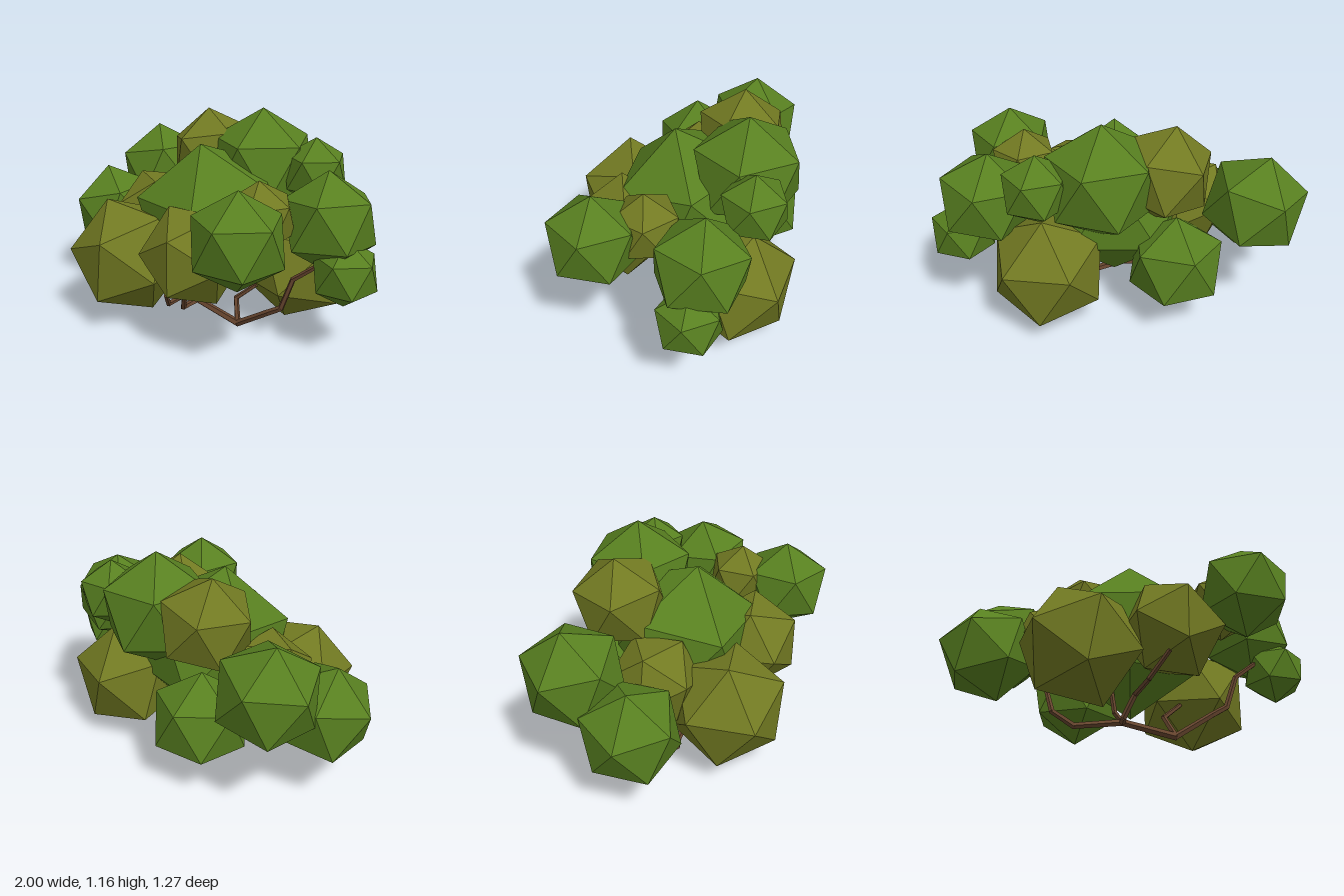
import * as THREE from 'three';

const material = (color) => new THREE.MeshStandardMaterial({ color, flatShading: true, roughness: 0.9 });

// Icosahedron turned so one vertex is at +y and a neighbour leans to +z
const leafBall = new THREE.IcosahedronGeometry(1, 0);
leafBall.rotateX(-Math.atan2((1 + Math.sqrt(5)) / 2, 1));

// Leaf clump: pole is the direction of one corner, lean of a neighbouring corner
function clump(name, mat, radius, centre, pole, lean) {
  const mesh = new THREE.Mesh(leafBall, mat);
  const y = new THREE.Vector3(...pole).normalize();
  const x = new THREE.Vector3().crossVectors(y, new THREE.Vector3(...lean)).normalize();
  const z = new THREE.Vector3().crossVectors(x, y);
  mesh.quaternion.setFromRotationMatrix(new THREE.Matrix4().makeBasis(x, y, z));
  mesh.scale.setScalar(radius);
  mesh.position.set(...centre);
  mesh.name = name;
  return mesh;
}

// Branch: tapering five-sided segments that overlap at the bends
function branch(name, mat, points, r0, r1) {
  const group = new THREE.Group();
  group.name = name;
  const n = points.length - 1;
  for (let i = 0; i < n; i++) {
    const a = new THREE.Vector3(...points[i]);
    const b = new THREE.Vector3(...points[i + 1]);
    const radius = (k) => r0 + (r1 - r0) * k / n;
    const dir = b.clone().sub(a);
    const mesh = new THREE.Mesh(
      new THREE.CylinderGeometry(radius(i + 1), radius(i), dir.length() + 0.01, 5), mat);
    mesh.position.copy(a).add(b).multiplyScalar(0.5);
    mesh.quaternion.setFromUnitVectors(new THREE.Vector3(0, 1, 0), dir.normalize());
    mesh.name = name + 'Segment';
    group.add(mesh);
  }
  return group;
}

export function createModel() {
  const model = new THREE.Group();
  model.name = 'bush';
  const green = material(0x588020);
  const olive = material(0x727a22);
  const bark = material(0x68462f);

  // Green leaf clumps: radius, centre, corner direction, neighbour direction
  const greens = [
    [0.435, [0.02, 0.58, -0.02], [0, 0.98, 0.2], [0.56, 0.3, 0.83]],
    [0.28, [-0.715, 0.665, -0.24], [-0.22, 0.97, -0.03], [-0.41, 0.4, -0.91]],
    [0.272, [-0.745, 0.46, 0.105], [-0.22, 0.96, 0.08], [-0.18, 0.4, 0.86]],
    [0.255, [0.62, 0.692, 0.335], [0, 1, 0], [1, 0.45, 0]],
    [0.265, [0.69, 0.685, -0.22], [-0.1, 0.97, -0.05], [0.1, 0.3, -0.9]],
    [0.183, [0.835, 0.46, -0.195], [0, 1, 0], [1, 0.45, 0]],
    [0.315, [0.08, 0.845, -0.332], [0, 1, 0], [1, 0.45, 0]],
    [0.188, [0.4, 0.85, -0.42], [0, 1, 0], [1, 0.45, 0]],
    [0.27, [-0.305, 0.36, -0.34], [0, 1, 0.05], [-0.3, 0.4, -0.8]],
  ];
  // Olive leaf clumps
  const olives = [
    [0.333, [-0.225, 0.38, 0.373], [0.12, 0.155, 0.27], [-0.2, 0.035, 0.26]],
    [0.28, [0.24, 0.5, 0.3], [0.08, -0.155, 0.24], [-0.18, 0, 0.23]],
    [0.268, [-0.24, 0.85, -0.25], [-0.05, 0.25, 0], [0.22, 0.15, 0.06]],
    [0.195, [0.515, 0.73, 0.095], [0, 1, 0.05], [0.1, 0.4, -0.9]],
    [0.328, [0.372, 0.34, -0.345], [0.03, -0.21, -0.24], [0.2, 0.07, -0.245]],
    [0.25, [-0.39, 0.535, 0.04], [-0.58, 0.78, 0.07], [-0.3, 0.2, 0.9]],
  ];
  for (const c of greens) model.add(clump('greenLeafClump', green, ...c));
  for (const c of olives) model.add(clump('oliveLeafClump', olive, ...c));

  // Branches fan out from a low root
  const root = [0.26, 0.02, 0];
  const fork = [-0.02, 0.08, 0.06];
  const branches = [
    [[root, [0.46, 0.15, -0.03], [0.54, 0.2, -0.05], [0.6, 0.38, -0.07], [0.72, 0.48, -0.11]], 0.019, 0.013],
    [[root, fork, [-0.27, 0.05, 0.1], [-0.38, 0.11, 0.16], [-0.42, 0.25, 0.11]], 0.021, 0.013],
    [[fork, [-0.01, 0.07, 0.17], [0.05, 0.18, 0.21], [0.12, 0.2, 0.37], [0.22, 0.31, 0.46]], 0.018, 0.012],
    [[fork, [-0.06, 0.13, 0.07], [-0.1, 0.4, 0.05]], 0.016, 0.012],
    [[root, [0.2, 0.14, -0.04], [0.29, 0.23, -0.1]], 0.017, 0.012],
  ];
  for (const b of branches) model.add(branch('branch', bark, ...b));
  return model;
}
